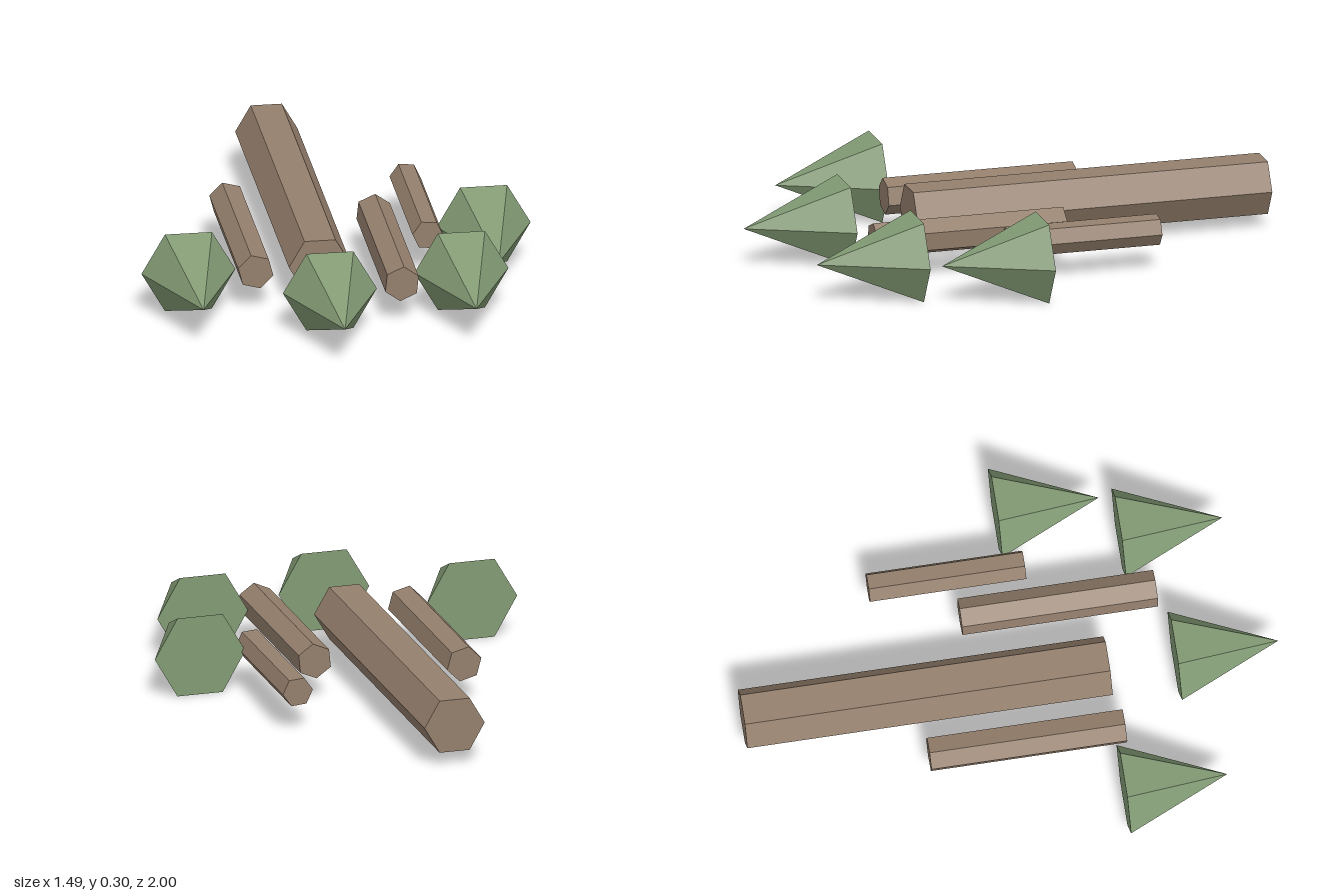
import * as THREE from 'three';

export function createModel() {
  const model = new THREE.Group();
  const bark = new THREE.MeshStandardMaterial({ name: 'brown bark', color: 0x947f6c, flatShading: true });
  const leaf = new THREE.MeshStandardMaterial({ name: 'green foliage', color: 0x829a74, flatShading: true });
  const midY = 0.152;

  // Six-sided prism or cone lying along z; corner is the angle of one corner seen from the front
  function lying(name, material, x, back, front, frontRadius, backRadius, corner) {
    const start = THREE.MathUtils.degToRad(corner + 90);
    const geometry = new THREE.CylinderGeometry(frontRadius, backRadius, front - back, 6, 1, false, start);
    geometry.rotateX(Math.PI / 2);
    const mesh = new THREE.Mesh(geometry, material);
    mesh.name = name;
    mesh.position.set(x, midY, (front + back) / 2);
    model.add(mesh);
  }

  // Logs: x, back z, front z, radius, corner angle
  [
    ['largeLog', -0.085, -1, 0.363, 0.116, 0],
    ['leftOuterLog', 0.353, -0.465, 0.118, 0.058, 115],
    ['leftInnerLog', 0.188, -0.147, 0.583, 0.068, 84],
    ['rightLog', -0.328, -0.343, 0.387, 0.068, 105],
  ].forEach(([name, x, back, front, r, corner]) => lying(name, bark, x, back, front, r, r, corner));

  // Pointed foliage cones: x, back z
  [[-0.573, 0.346], [-0.085, 0.612], [0.424, 0.482], [0.571, 0.044]].forEach(([x, back], i) =>
    lying(`foliageCone${i + 1}`, leaf, x, back, back + 0.386, 0, 0.175, 0));

  return model;
}
